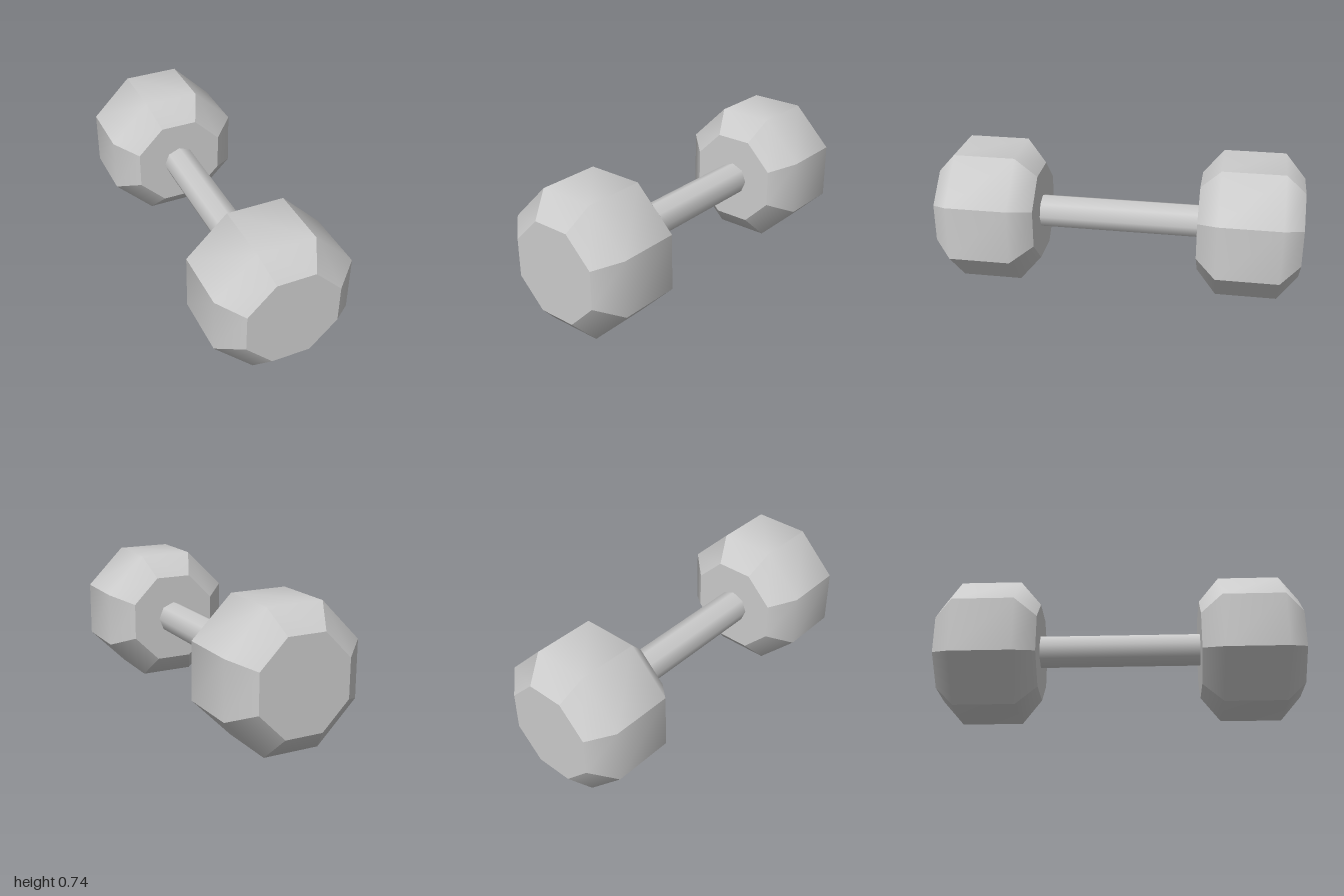
import * as THREE from 'three';
import { mergeGeometries } from 'three/addons/utils/BufferGeometryUtils.js';

const SIDES = 8;
const CENTRE_Y = 0.37;
const HEAD_Z = 0.7225;          // middle of each head
const HALF = 0.2775;            // half of the head's thickness
const RIM = 0.1675;             // half of the straight band between bevels
const corner = (apothem) => apothem / Math.cos(Math.PI / SIDES);

// Octagonal weight: sharp between sides, soft from band to bevel, flat ends
function headGeometry() {
  const step = (2 * Math.PI) / SIDES;
  const outer = corner(0.37), inner = corner(0.25);
  const v = (r, y) => new THREE.Vector2(r, y);
  const profile = [v(inner, -HALF), v(outer, -RIM), v(outer, RIM), v(inner, HALF)];
  const pieces = [];
  for (let i = 0; i < SIDES; i++) {
    const side = new THREE.LatheGeometry(profile, 1, (i + 0.5) * step, step);
    side.computeVertexNormals();
    pieces.push(side);
  }
  for (const cap of [[v(0, -HALF), v(inner, -HALF)], [v(inner, HALF), v(0, HALF)]]) {
    pieces.push(new THREE.LatheGeometry(cap, SIDES, step / 2));
  }
  return mergeGeometries(pieces).rotateX(Math.PI / 2);
}

export function createModel() {
  const model = new THREE.Group();
  model.name = 'dumbbell';
  const material = new THREE.MeshStandardMaterial({ color: 0xcccccc });

  // Two matching weights
  const head = headGeometry();
  for (const [name, sign] of [['frontWeight', 1], ['backWeight', -1]]) {
    const mesh = new THREE.Mesh(head, material);
    mesh.name = name;
    mesh.position.set(0, CENTRE_Y, sign * HEAD_Z);
    model.add(mesh);
  }

  // Grip bar, running slightly into both weights
  const grip = new THREE.CylinderGeometry(0.094, 0.094, 0.92, SIDES, 1, true).rotateX(Math.PI / 2);
  const handle = new THREE.Mesh(grip, material);
  handle.name = 'handle';
  handle.position.y = CENTRE_Y;
  model.add(handle);

  return model;
}
